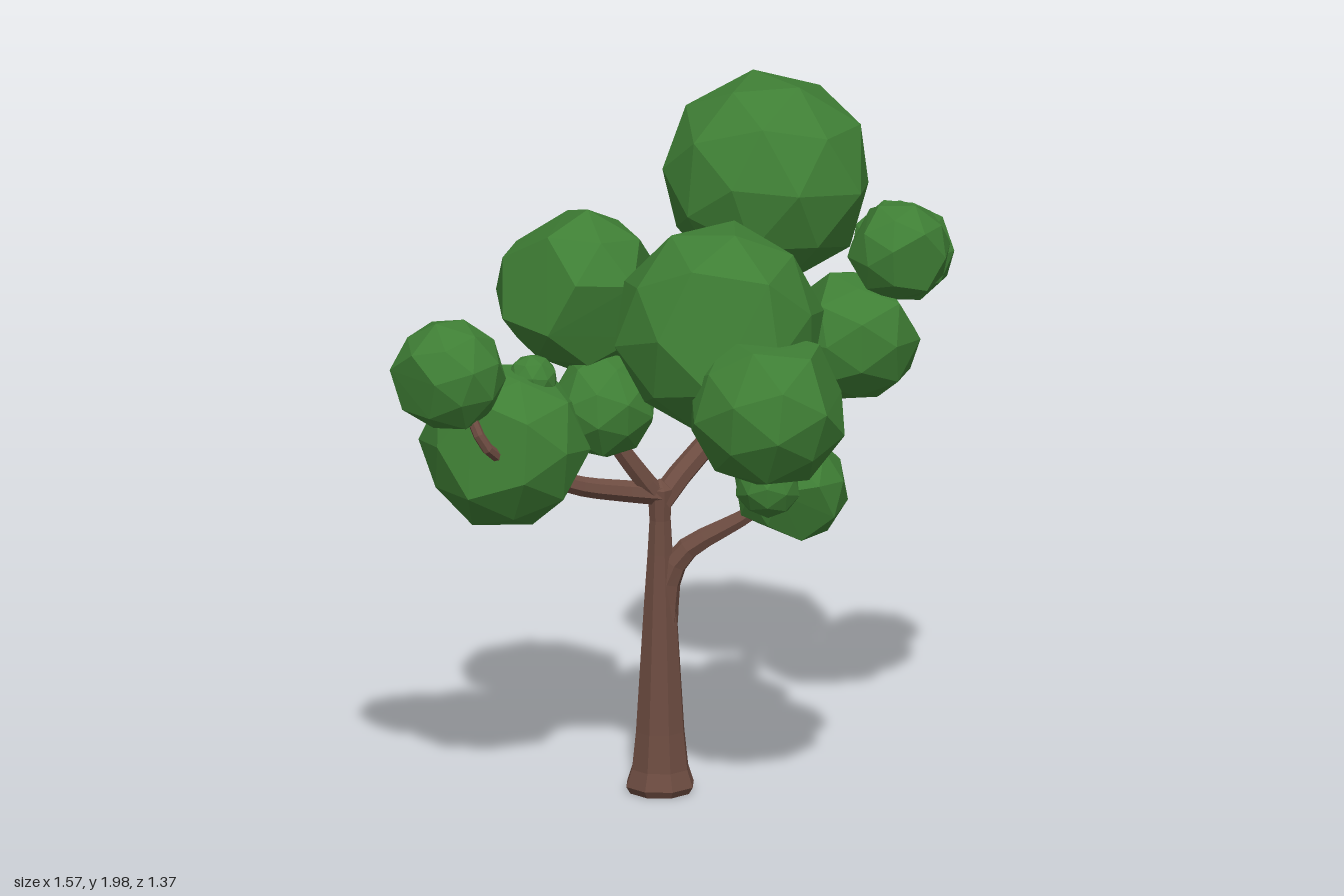
import * as THREE from 'three';
import { ConvexGeometry } from 'three/addons/geometries/ConvexGeometry.js';

const bark = new THREE.MeshStandardMaterial({ color: 0x6d4c41, flatShading: true });
const leaf = new THREE.MeshStandardMaterial({ color: 0x3f7f35, flatShading: true });

function seeded(seed) {
  let s = seed * 7919 + 17;
  return () => (s = (s * 16807) % 2147483647) / 2147483647;
}

// Distinct unit directions held in a vertex attribute
function directions(attribute) {
  const found = [];
  for (let i = 0; i < attribute.count; i++) {
    const v = new THREE.Vector3().fromBufferAttribute(attribute, i).normalize();
    if (!found.some((f) => f.distanceTo(v) < 0.1)) found.push(v);
  }
  return found;
}
const dodecahedron = new THREE.DodecahedronGeometry(1);
const dodecaCorners = directions(dodecahedron.attributes.position);
const dodecaCentres = directions(dodecahedron.attributes.normal);

// Faceted leaf clump: a jittered dodecahedron with most of its faces raised
function clump(name, x, y, z, r, seed) {
  const rand = seeded(seed);
  for (let i = 0; i < 5; i++) rand();
  const turn = new THREE.Euler(rand() * 6, rand() * 6, rand() * 6);
  const points = dodecaCorners.map((v) => v.clone().multiplyScalar(0.98 + rand() * 0.05));
  for (const v of dodecaCentres) {
    if (rand() < 0.88) points.push(v.clone().multiplyScalar(0.95 + rand() * 0.06));
  }
  points.forEach((p) => p.applyEuler(turn).multiplyScalar(r));
  const mesh = new THREE.Mesh(new ConvexGeometry(points), leaf);
  mesh.position.set(x, y, z);
  mesh.name = name;
  return mesh;
}

// Tapered branch along a smooth curve
function branch(name, points, r0, r1, sides = 7) {
  const curve = new THREE.CatmullRomCurve3(points.map((p) => new THREE.Vector3(...p)));
  const steps = 10;
  const geo = new THREE.TubeGeometry(curve, steps, 1, sides, false);
  const pos = geo.attributes.position;
  const v = new THREE.Vector3();
  for (let i = 0; i <= steps; i++) {
    const c = curve.getPointAt(i / steps);
    const r = THREE.MathUtils.lerp(r0, r1, i / steps);
    for (let j = 0; j <= sides; j++) {
      const k = i * (sides + 1) + j;
      v.fromBufferAttribute(pos, k).sub(c).multiplyScalar(r).add(c);
      pos.setXYZ(k, v.x, v.y, v.z);
    }
  }
  geo.computeVertexNormals();
  const mesh = new THREE.Mesh(geo, bark);
  mesh.name = name;
  return mesh;
}

export function createModel() {
  const tree = new THREE.Group();
  tree.name = 'tree';

  // Trunk with a flared, closed foot
  const profile = [[0, 0], [0.09, 0], [0.102, 0.02], [0.085, 0.07], [0.073, 0.18], [0.062, 0.35],
    [0.049, 0.55], [0.038, 0.7], [0.032, 0.8], [0.037, 0.89], [0, 0.92]];
  const trunk = new THREE.Mesh(
    new THREE.LatheGeometry(profile.map((p) => new THREE.Vector2(...p)), 8, Math.PI / 8), bark);
  trunk.position.x = -0.034;
  trunk.name = 'trunk';
  tree.add(trunk);

  // Branches
  const branches = new THREE.Group();
  branches.name = 'branches';
  branches.add(
    branch('lowLeftBranch', [[-0.028, 0.5, 0], [-0.01, 0.63, 0], [0.035, 0.705, 0], [0.2, 0.805, 0], [0.34, 0.9, 0]], 0.046, 0.014),
    branch('lowTwig', [[0.22, 0.82, 0], [0.26, 0.88, 0.06], [0.28, 0.94, 0.13]], 0.014, 0.01),
    branch('rightBranch', [[-0.03, 0.875, 0], [-0.13, 0.89, 0.03], [-0.28, 0.925, 0.09], [-0.45, 1.02, 0.17]], 0.034, 0.024),
    branch('rightTwig', [[-0.43, 1.0, 0.18], [-0.47, 1.06, 0.32], [-0.52, 1.12, 0.375], [-0.56, 1.2, 0.35], [-0.62, 1.3, 0.31]], 0.02, 0.014),
    branch('middleBranch', [[-0.035, 0.86, 0], [-0.1, 0.95, 0.03], [-0.19, 1.1, 0.06], [-0.24, 1.28, 0.02], [-0.26, 1.46, -0.02]], 0.031, 0.016),
    branch('middleTwig', [[-0.2, 1.12, 0.06], [-0.31, 1.19, 0.11], [-0.39, 1.25, 0.15]], 0.014, 0.01),
    branch('backBranch', [[-0.035, 0.85, 0], [0.04, 0.94, -0.06], [0.17, 1.07, -0.17], [0.245, 1.2, -0.24], [0.32, 1.42, -0.32], [0.3, 1.65, -0.38]], 0.037, 0.023),
    branch('topTwig', [[0.235, 1.17, -0.23], [0.25, 1.31, -0.17], [0.25, 1.43, -0.08], [0.18, 1.5, 0.1]], 0.025, 0.014),
  );
  tree.add(branches);

  // Leaf clumps: x, y, z, radius
  const foliage = new THREE.Group();
  foliage.name = 'foliage';
  const clumps = {
    topClump: [0.257, 1.7, -0.405, 0.302],
    frontClump: [0.142, 1.435, 0.255, 0.305],
    lowFrontClump: [0.288, 1.26, 0.455, 0.234],
    upperRightClump: [-0.268, 1.47, -0.025, 0.238],
    lowerRightClump: [-0.465, 1.06, 0.158, 0.244],
    outerRightClump: [-0.622, 1.308, 0.312, 0.164],
    innerRightClump: [-0.192, 1.153, 0.062, 0.154],
    rightTuft: [-0.39, 1.25, 0.15, 0.073],
    lowLeftClump: [0.338, 0.9, 0.003, 0.164],
    lowLeftTuft: [0.278, 0.942, 0.13, 0.096],
    innerTuft: [0.265, 1.455, -0.085, 0.086],
    outerLeftClump: [0.636, 1.55, -0.18, 0.148],
    outerBackClump: [0.635, 1.462, -0.485, 0.152],
    backLeftClump: [0.503, 1.252, -0.342, 0.194],
  };
  Object.entries(clumps).forEach(([name, c], i) => foliage.add(clump(name, ...c, i + 1)));
  tree.add(foliage);

  return tree;
}
